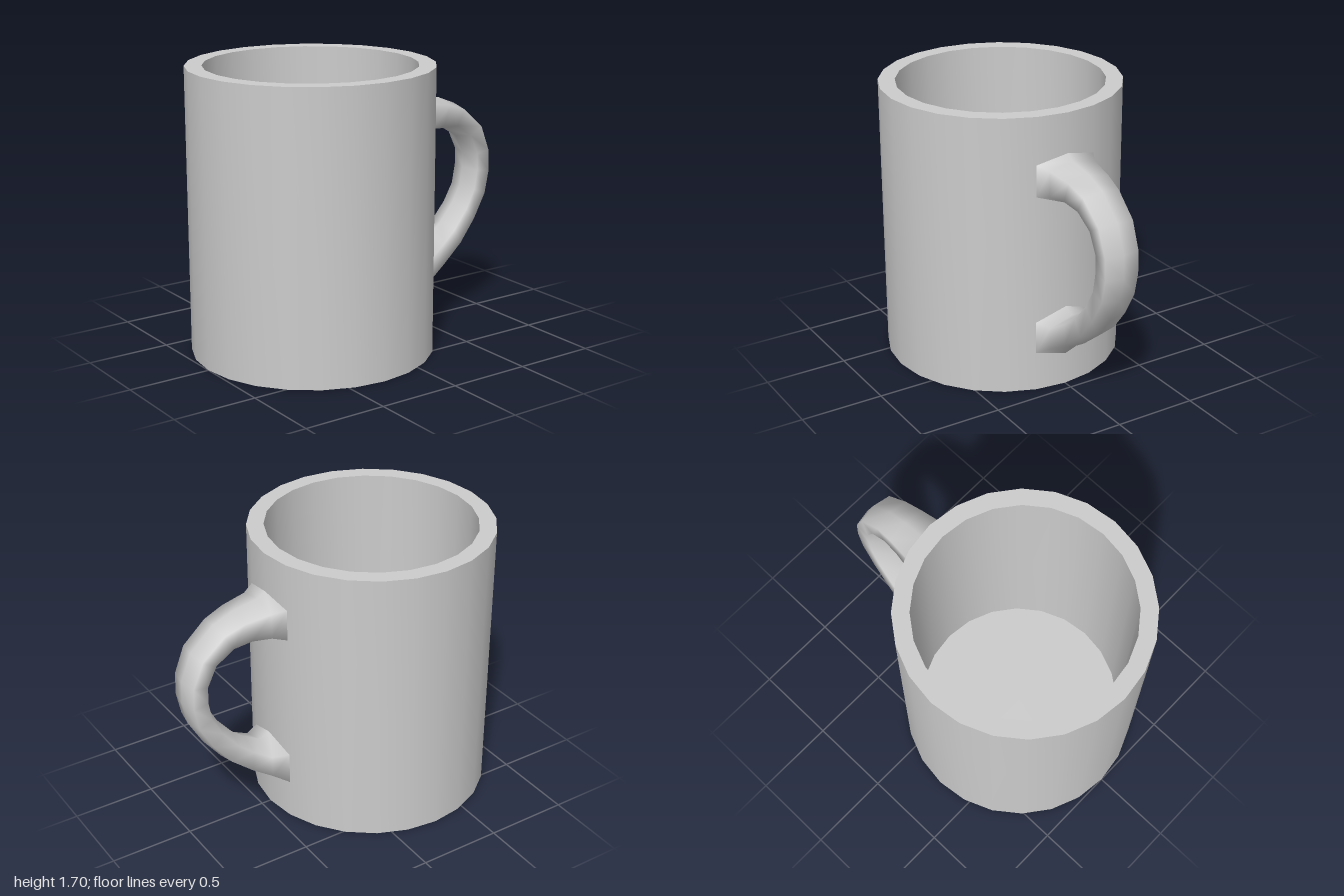
import * as THREE from 'three';
import { toCreasedNormals } from 'three/addons/utils/BufferGeometryUtils.js';

const material = new THREE.MeshStandardMaterial({ color: 0xcccccc });
const CENTRE_X = -0.28;

// Hollow body: one profile from the underside, over the rim, to the inner floor
function createBody() {
  const profile = [
    [0, 0], [0.72, 0], [0.72, 1.7], [0.62, 1.7], [0.62, 0.1], [0, 0.1],
  ].map(([r, y]) => new THREE.Vector2(r, y));
  const geometry = toCreasedNormals(new THREE.LatheGeometry(profile, 24), Math.PI / 5);
  const body = new THREE.Mesh(geometry, material);
  body.name = 'body';
  body.position.x = CENTRE_X;
  return body;
}

// Handle: six-sided rings, each given by outer x, y, inner x, y and half width
function createHandle() {
  const rings = [
    [0.44, 1.46, 0.44, 1.16, 0.19],
    [0.49, 1.43, 0.49, 1.19, 0.15],
    [0.655, 1.4, 0.59, 1.21, 0.13],
    [0.78, 1.35, 0.7, 1.2, 0.118],
    [0.93, 1.215, 0.8, 1.14, 0.113],
    [0.995, 1.05, 0.855, 1.03, 0.11],
    [1.0, 0.91, 0.857, 0.935, 0.11],
    [0.97, 0.765, 0.838, 0.82, 0.11],
    [0.88, 0.605, 0.785, 0.72, 0.113],
    [0.77, 0.465, 0.69, 0.605, 0.118],
    [0.63, 0.35, 0.61, 0.54, 0.128],
    [0.505, 0.27, 0.505, 0.48, 0.15],
    [0.44, 0.2, 0.44, 0.51, 0.19],
  ];
  // Position across the ring (0 outer, 1 inner) and side of each corner
  const corners = [[0, 0], [0.14, 1], [0.78, 1], [1, 0], [0.78, -1], [0.14, -1]];
  const n = corners.length;
  const positions = [];
  const indices = [];
  rings.forEach(([ox, oy, ix, iy, w], r) => {
    const atWall = r === 0 || r === rings.length - 1;
    for (const [t, side] of corners) {
      // End rings follow the curve of the wall
      const x = THREE.MathUtils.lerp(ox, ix, t) - (atWall && side ? 0.026 : 0);
      positions.push(x, THREE.MathUtils.lerp(oy, iy, t), side * w);
    }
    if (r === 0) return;
    for (let i = 0; i < n; i++) {
      const j = (i + 1) % n;
      const a = (r - 1) * n + i, b = (r - 1) * n + j;
      indices.push(a, b, a + n, b, b + n, a + n);
    }
  });
  const geometry = new THREE.BufferGeometry();
  geometry.setAttribute('position', new THREE.Float32BufferAttribute(positions, 3));
  geometry.setIndex(indices);
  geometry.computeVertexNormals();
  const handle = new THREE.Mesh(geometry, material);
  handle.name = 'handle';
  return handle;
}

export function createModel() {
  const mug = new THREE.Group();
  mug.name = 'mug';
  mug.add(createBody(), createHandle());
  return mug;
}
